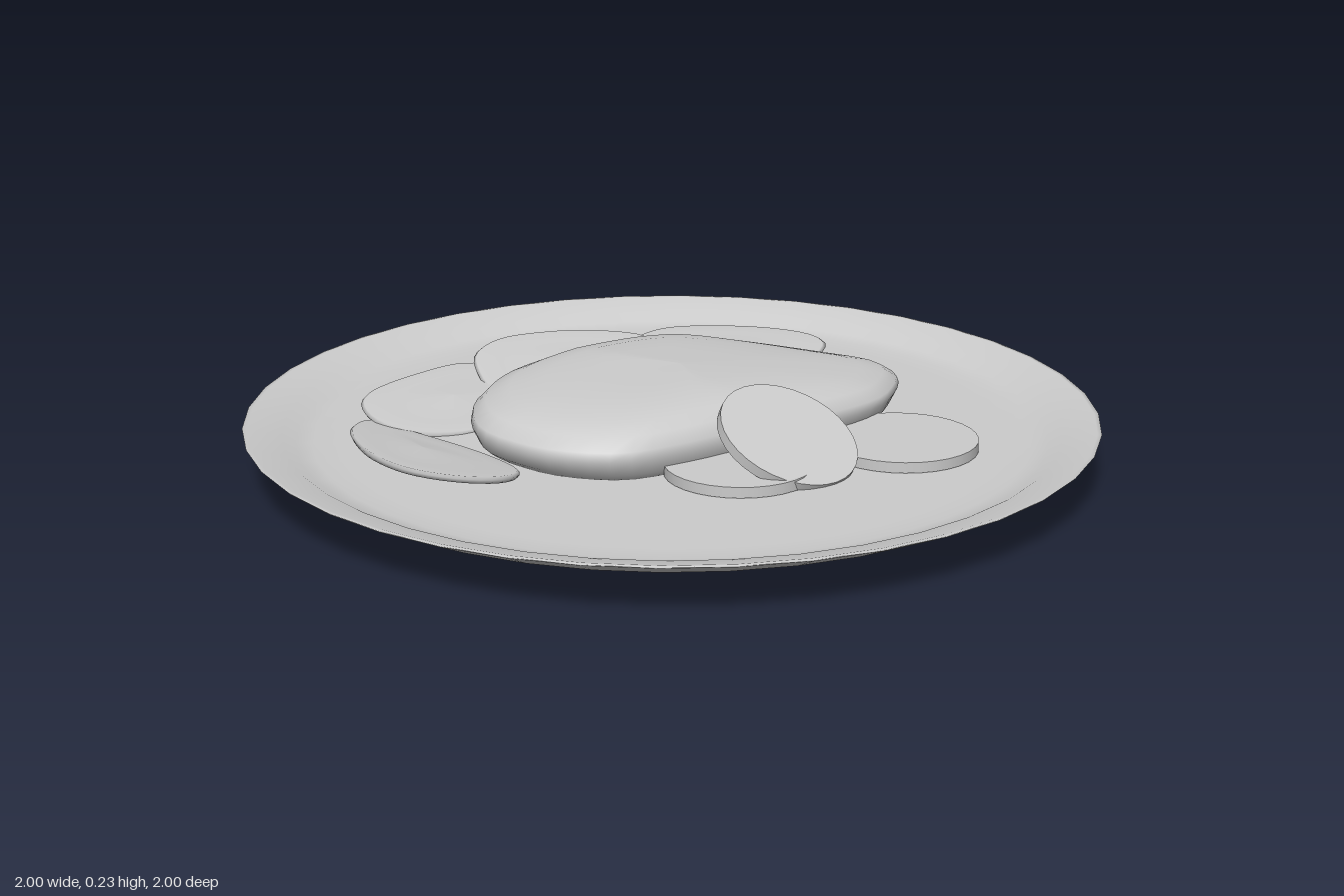
import * as THREE from 'three';

const material = new THREE.MeshStandardMaterial({ color: 0xcccccc });

// Closed solid from an [x, z] outline: each ring is [scale, height(x, z)], listed from underside to top.
function loft(outline, rings, count = 48) {
  const curve = new THREE.CatmullRomCurve3(
    outline.map(([x, z]) => new THREE.Vector3(x, 0, z)), true, 'centripetal');
  const edge = curve.getSpacedPoints(count).slice(0, count);
  const centre = edge.reduce((s, p) => s.add(p), new THREE.Vector3()).divideScalar(count);
  const positions = [], indices = [];
  rings.forEach(([scale, height]) => edge.forEach((p) => {
    const q = centre.clone().lerp(p, scale);
    positions.push(q.x, height(q.x, q.z), q.z);
  }));
  for (let i = 0; i < rings.length - 1; i++) {
    for (let j = 0; j < count; j++) {
      const k = (j + 1) % count;
      const a = i * count + j, b = i * count + k, c = a + count, d = b + count;
      indices.push(a, c, b, b, c, d);
    }
  }
  const geometry = new THREE.BufferGeometry();
  geometry.setAttribute('position', new THREE.Float32BufferAttribute(positions, 3));
  geometry.setIndex(indices);
  geometry.computeVertexNormals();
  return geometry;
}

export function createModel() {
  const group = new THREE.Group();
  const add = (name, geometry) => {
    const mesh = new THREE.Mesh(geometry, material);
    mesh.name = name;
    group.add(mesh);
    return mesh;
  };

  // Shallow plate with a sloping rim and a slightly sagging underside
  const profile = [
    [0, 0], [0.4, 0.008], [0.76, 0.027], [0.81, 0.037], [0.9, 0.07], [0.995, 0.116], [1, 0.121],
    [0.99, 0.121], [0.91, 0.1], [0.88, 0.083], [0.84, 0.076], [0.78, 0.074], [0, 0.074],
  ].map(([x, y]) => new THREE.Vector2(x, y));
  add('plate', new THREE.LatheGeometry(profile, 40));

  // Main piece: a rounded slab, lower toward its back end
  const filletOutline = [
    [0.13, -0.59], [0.2, -0.57], [0.27, -0.48], [0.315, -0.38], [0.32, -0.2], [0.28, 0],
    [0.25, 0.2], [0.2, 0.35], [0.08, 0.44], [-0.02, 0.465], [-0.15, 0.46], [-0.3, 0.36],
    [-0.38, 0.22], [-0.405, 0.05], [-0.4, -0.25], [-0.35, -0.37], [-0.2, -0.46], [0, -0.545],
  ];
  const drop = (z) => 0.05 * Math.max(0, -z / 0.57) + 0.015 * Math.max(0, z / 0.45);
  const slab = (y, amount) => (x, z) => y - amount * drop(z);
  add('fillet', loft(filletOutline, [
    [0, slab(0.07, 0)], [0.92, slab(0.07, 0)], [0.97, slab(0.09, 0)], [1, slab(0.125, 0.1)],
    [0.99, slab(0.15, 0.3)], [0.93, slab(0.18, 0.5)], [0.82, slab(0.2, 0.7)],
    [0.65, slab(0.213, 0.8)], [0.4, slab(0.219, 0.8)], [0, slab(0.221, 0.8)],
  ], 60));

  // Thin overlapping leaves; each lifts along its outer edge (tilt = slope in x and z)
  const leaves = [
    { name: 'backLeaf', tilt: [-0.06, -0.04], at: [-0.33, -0.48], y: 0.095, outline: [
      [-0.25, -0.745], [-0.19, -0.73], [-0.12, -0.6], [-0.11, -0.54], [-0.25, -0.4],
      [-0.36, -0.24], [-0.42, -0.22], [-0.48, -0.24], [-0.53, -0.34], [-0.55, -0.42],
      [-0.54, -0.5], [-0.45, -0.62], [-0.34, -0.71]] },
    { name: 'upperSideLeaf', tilt: [-0.28, 0], at: [-0.56, -0.1], y: 0.118, outline: [
      [-0.52, -0.41], [-0.48, -0.38], [-0.45, -0.28], [-0.4, -0.2], [-0.38, 0], [-0.4, 0.12],
      [-0.48, 0.155], [-0.56, 0.13], [-0.63, 0.08], [-0.665, -0.02], [-0.65, -0.15], [-0.6, -0.3]] },
    { name: 'lowerSideLeaf', tilt: [-0.12, 0], at: [-0.48, 0.28], y: 0.098, outline: [
      [-0.55, 0.03], [-0.4, 0.05], [-0.33, 0.2], [-0.31, 0.37], [-0.38, 0.48], [-0.47, 0.51],
      [-0.57, 0.48], [-0.62, 0.42], [-0.65, 0.25], [-0.64, 0.1]] },
    { name: 'frontLeaf', tilt: [0, 0.2], at: [-0.2, 0.64], y: 0.118, outline: [
      [-0.38, 0.47], [-0.15, 0.44], [0, 0.47], [0.045, 0.56], [0.02, 0.66], [-0.06, 0.73],
      [-0.18, 0.735], [-0.33, 0.68], [-0.45, 0.6], [-0.51, 0.5]] },
  ];
  leaves.forEach(({ name, tilt, at, y, outline }) => {
    const sheet = (lift) => (x, z) =>
      Math.max(0.07, y + tilt[0] * (x - at[0]) + tilt[1] * (z - at[1]) + lift);
    add(name, loft(outline, [
      [0, sheet(-0.02)], [0.97, sheet(-0.014)], [1, sheet(-0.004)], [0.97, sheet(0.002)],
      [0.7, sheet(0)], [0.35, sheet(0.004)], [0, sheet(0.008)],
    ]));
  });

  // Round slices: two lying flat, one leaning on the fillet
  [
    ['backSlice', 0.46, 0.088, -0.29, 0.18, 0],
    ['frontSlice', 0.325, 0.088, 0.1, 0.172, 0],
    ['leaningSlice', 0.377, 0.146, 0, 0.165, -0.49],
  ].forEach(([name, x, y, z, radius, lean]) => {
    const slice = add(name, new THREE.CylinderGeometry(radius, radius, 0.025, 32));
    slice.position.set(x, y, z);
    slice.rotation.z = lean;
  });

  return group;
}
